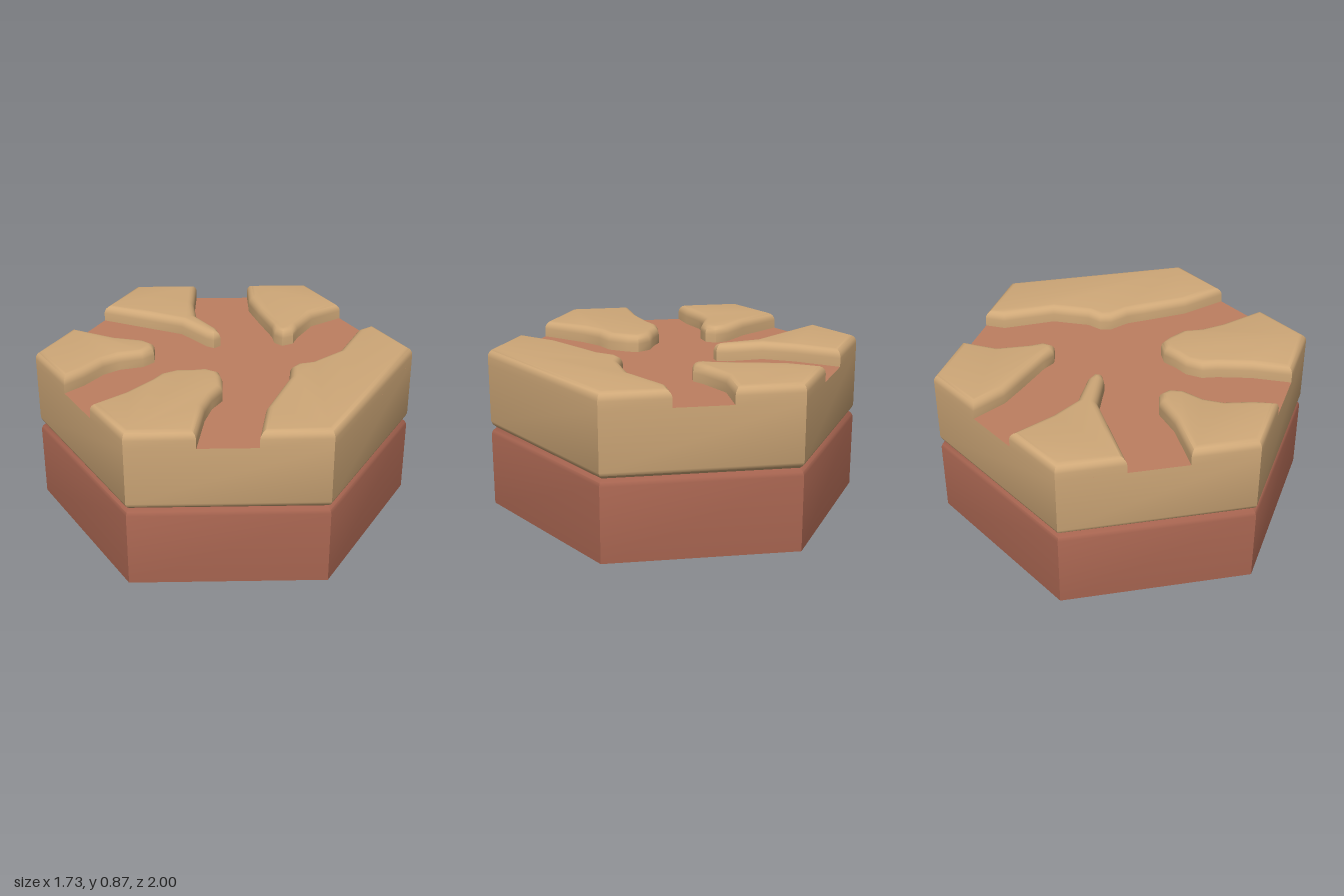
import * as THREE from 'three';
import { toCreasedNormals } from 'three/addons/utils/BufferGeometryUtils.js';

const FLOOR = 0.78, TOP = 0.87, SEAM = 0.435;

// Points are [x, z]; every outline runs from +x towards +z.
const hexagon = [];
for (let i = 0; i < 6; i++) {
  const a = (i * Math.PI) / 3 + Math.PI / 6;
  hexagon.push([Math.cos(a), Math.sin(a)]);
}

// Raised plates between the channels
const plates = {
  backPlate: [[-0.3, -0.827], [0, -1], [0.3, -0.827], [0.205, -0.65], [0.2, -0.476], [0.21, -0.4], [0.17, -0.347],
    [0.116, -0.36], [0.07, -0.42], [-0.085, -0.555], [-0.2, -0.66]],
  leftPlate: [[0.56, -0.677], [0.866, -0.5], [0.866, 0.5], [0.56, 0.677], [0.47, 0.44], [0.44, 0.195], [0.43, 0.1],
    [0.386, 0], [0.397, -0.06], [0.455, -0.115], [0.487, -0.195], [0.53, -0.3], [0.513, -0.58]],
  frontPlate: [[0.3, 0.827], [0, 1], [-0.3, 0.827], [-0.22, 0.635], [-0.178, 0.46], [-0.17, 0.38], [-0.12, 0.305],
    [-0.05, 0.265], [0.01, 0.217], [0.09, 0.217], [0.13, 0.26], [0.185, 0.36], [0.18, 0.46], [0.206, 0.58]],
  frontRightPlate: [[-0.56, 0.677], [-0.866, 0.5], [-0.866, 0.155], [-0.6, 0.135], [-0.445, 0.09], [-0.37, 0.105],
    [-0.34, 0.16], [-0.365, 0.235], [-0.455, 0.32], [-0.5, 0.41], [-0.52, 0.555]],
  backRightPlate: [[-0.866, -0.155], [-0.866, -0.5], [-0.56, -0.677], [-0.445, -0.45], [-0.345, -0.31],
    [-0.17, -0.228], [-0.127, -0.185], [-0.143, -0.143], [-0.19, -0.143], [-0.386, -0.21], [-0.6, -0.185]],
};

// Mitred inset of a closed outline
function inset(outline, d) {
  const n = outline.length;
  const inward = (p, q) => {
    const l = Math.hypot(q[0] - p[0], q[1] - p[1]);
    return [-(q[1] - p[1]) / l, (q[0] - p[0]) / l];
  };
  return outline.map((p, i) => {
    const a = inward(outline[(i + n - 1) % n], p);
    const b = inward(p, outline[(i + 1) % n]);
    const k = d / (1 + a[0] * b[0] + a[1] * b[1]);
    return [p[0] + (a[0] + b[0]) * k, p[1] + (a[1] + b[1]) * k];
  });
}

// Walls through [inset, height] steps, with optional end caps
function loft(outline, profile, { top = false, bottom = false } = {}) {
  const n = outline.length, pos = [], idx = [];
  for (const [d, y] of profile) for (const [x, z] of inset(outline, d)) pos.push(x, y, z);
  for (let r = 0; r + 1 < profile.length; r++) {
    for (let i = 0; i < n; i++) {
      const a = r * n + i, b = r * n + ((i + 1) % n);
      idx.push(a, a + n, b, a + n, b + n, b);
    }
  }
  const cap = (ring, up) => {
    const pts = inset(outline, profile[ring][0]).map(([x, z]) => new THREE.Vector2(x, z));
    for (const [a, b, c] of THREE.ShapeUtils.triangulateShape(pts, [])) {
      const o = ring * n;
      if (up) idx.push(o + a, o + c, o + b);
      else idx.push(o + a, o + b, o + c);
    }
  };
  if (top) cap(profile.length - 1, true);
  if (bottom) cap(0, false);
  const geo = new THREE.BufferGeometry();
  geo.setAttribute('position', new THREE.Float32BufferAttribute(pos, 3));
  geo.setIndex(idx);
  return toCreasedNormals(geo, 0.75);
}

export function createModel() {
  const group = new THREE.Group();
  const clay = new THREE.MeshStandardMaterial({ color: 0xa5634f });
  const path = new THREE.MeshStandardMaterial({ color: 0xbd7f60 });
  const sand = new THREE.MeshStandardMaterial({ color: 0xcfa878 });
  const add = (name, geo, mat) => {
    const mesh = new THREE.Mesh(geo, mat);
    mesh.name = name;
    group.add(mesh);
  };

  // Lower block and upper slab meet in a softened groove
  add('baseBlock', loft(hexagon, [[0, 0], [0, 0.4], [0.007, 0.418], [0.025, SEAM]], { bottom: true }), clay);
  add('upperSlab', loft(hexagon, [[0.025, SEAM], [0.007, 0.452], [0, 0.47], [0, FLOOR]]), sand);

  // Channel floor
  add('channelFloor', loft(hexagon, [[0, FLOOR]], { top: true }), path);

  // Plates with a rounded top edge
  const profile = [[0, FLOOR]];
  for (let i = 0; i <= 5; i++) {
    const a = (i / 5) * (Math.PI / 2);
    profile.push([0.038 * (1 - Math.cos(a)), TOP - 0.045 + 0.045 * Math.sin(a)]);
  }
  for (const [name, points] of Object.entries(plates)) {
    const flipped = THREE.ShapeUtils.isClockWise(points.map(([x, z]) => new THREE.Vector2(x, z)));
    add(name, loft(flipped ? [...points].reverse() : points, profile, { top: true }), sand);
  }
  return group;
}
